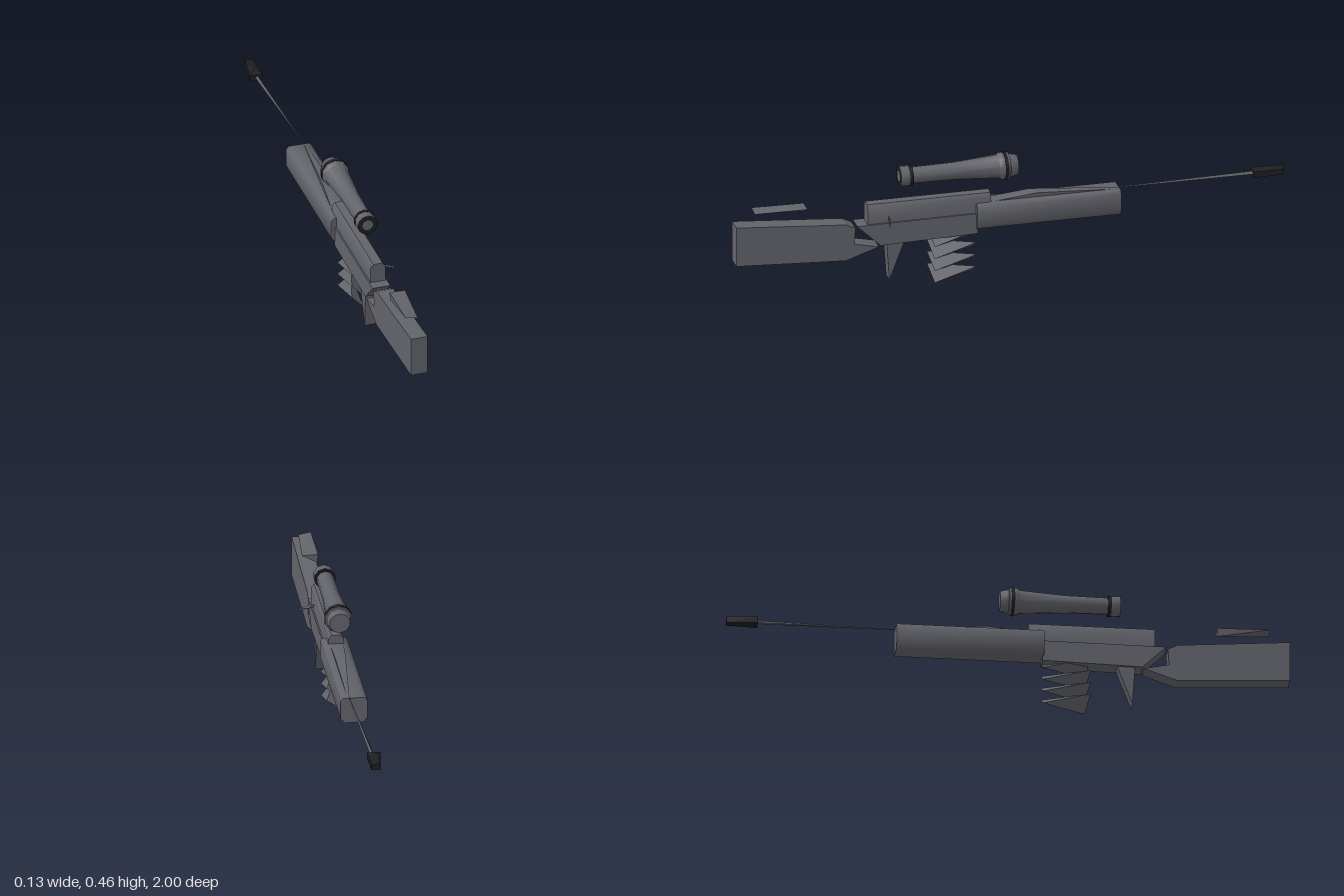
import * as THREE from 'three';
import { toCreasedNormals } from 'three/addons/utils/BufferGeometryUtils.js';
import { ConvexGeometry } from 'three/addons/geometries/ConvexGeometry.js';

const CX = -0.017; // the rifle's long axis lies a little to one side

export function createModel() {
  const group = new THREE.Group();
  const gunmetal = new THREE.MeshStandardMaterial({ color: 0x63646b });
  gunmetal.name = 'gunmetal';
  const black = new THREE.MeshStandardMaterial({ color: 0x1e1e20 });
  black.name = 'black';

  const add = (name, geometry, material = gunmetal, parent = group) => {
    const mesh = new THREE.Mesh(geometry, material);
    mesh.name = name;
    parent.add(mesh);
    return mesh;
  };
  const shapeOf = (pts) => new THREE.Shape(pts.map(([a, b]) => new THREE.Vector2(a, b)));
  // Side outline given as [z, y], extruded across x
  const sideSlab = (pts, width, x = CX) =>
    new THREE.ExtrudeGeometry(shapeOf(pts), { depth: width, bevelEnabled: false })
      .translate(0, 0, -width / 2).rotateY(-Math.PI / 2).translate(x, 0, 0);
  // Cross-section given as [x, y], extruded from z0 to z1
  const bar = (pts, z0, z1) => toCreasedNormals(
    new THREE.ExtrudeGeometry(shapeOf(pts), { depth: z1 - z0, bevelEnabled: false })
      .translate(0, 0, z0), 0.9);
  const hull = (pts) => new ConvexGeometry(pts.map((p) => new THREE.Vector3(...p)));
  // Turned part along z, profile given as [radius, z]
  const turned = (pts, sides, y) => toCreasedNormals(
    new THREE.LatheGeometry(pts.map(([r, z]) => new THREE.Vector2(r, z)), sides)
      .rotateX(Math.PI / 2).translate(CX, y, 0), 0.7);

  // Stock, with a notch behind the receiver
  add('stock', sideSlab([[1, 0.145], [1, 0.293], [0.6, 0.262], [0.565, 0.245],
    [0.57, 0.185], [0.48, 0.165], [0.6, 0.124]], 0.062));
  add('cheekRest', hull([[-0.045, 0.34, 0.93], [0.013, 0.336, 0.74],
    [-0.042, 0.306, 0.74], [-0.045, 0.337, 0.74], [0, 0.332, 0.93]]));

  // Receiver and the raised rail above it
  add('receiver', sideSlab([[0.56, 0.252], [0.475, 0.17], [0.12, 0.178], [0.12, 0.255]], 0.066));
  add('rail', bar([[-0.045, 0.25], [0.011, 0.25], [0.011, 0.31], [0, 0.325],
    [-0.034, 0.325], [-0.045, 0.31]], 0.07, 0.52));

  // Fore-end with chamfered corners, and a low ridge on top
  add('foreEnd', bar([[-0.065, 0.215], [-0.05, 0.197], [0.017, 0.197], [0.032, 0.215],
    [0.032, 0.28], [0.022, 0.292], [-0.055, 0.292], [-0.065, 0.28]], -0.4, 0.125));
  add('topRidge', hull([[-0.045, 0.288, 0.09], [0.005, 0.288, 0.09], [-0.03, 0.311, -0.08],
    [0.008, 0.308, -0.1], [0, 0.294, -0.4], [0.006, 0.29, -0.4]]));

  // Slender barrel, thicker toward the muzzle
  add('barrel', hull([[0, 0.296, -0.4], [0.002, 0.293, -0.4], [0, 0.292, -0.4],
    [-0.022, 0.287, -0.9], [-0.008, 0.287, -0.9], [-0.015, 0.297, -0.9]]));
  add('muzzle', hull([[-0.043, 0.277, -0.89], [0.004, 0.277, -0.89], [0.004, 0.3, -0.89],
    [-0.043, 0.3, -0.89], [-0.02, 0.31, -0.91], [-0.028, 0.279, -1], [0.004, 0.281, -1],
    [0.003, 0.3, -1], [-0.026, 0.305, -1]]), black);

  // Magazine: a stack of twisted wedges
  const magazine = new THREE.Group();
  magazine.name = 'magazine';
  group.add(magazine);
  for (let i = 0; i < 4; i++) {
    const y = 0.01 + i * 0.046;
    add('magazineWedge', hull([[0.009, y + 0.04, 0.12], [-0.041, y + 0.05, 0.292],
      [0.009, y - 0.008, 0.275], [-0.041, y + 0.006, 0.122]]), gunmetal, magazine);
  }

  // Grip and bolt handle
  add('grip', sideSlab([[0.45, 0.175], [0.44, 0.03], [0.385, 0.175]], 0.048));
  add('boltHandle', hull([[0.01, 0.279, 0.445], [0.01, 0.268, 0.445], [0.066, 0.262, 0.452],
    [0.064, 0.254, 0.452], [0.03, 0.268, 0.44]]));

  // Scope with eyepiece ring, tapered tube and flared objective
  const scope = new THREE.Group();
  scope.name = 'scope';
  group.add(scope);
  add('scopeTube', turned([[0, -0.03], [0.037, -0.03], [0.044, 0], [0.05, 0.002], [0.05, 0.03],
    [0.043, 0.04], [0.032, 0.2], [0.03, 0.36], [0.037, 0.365], [0.037, 0.398], [0, 0.398]], 10, 0.415),
    gunmetal, scope);
  for (const [z, r] of [[0.015, 0.0515], [0.36, 0.038]]) {
    add('scopeRing', turned([[r - 0.01, z - 0.006], [r, z - 0.006], [r, z + 0.006],
      [r - 0.01, z + 0.006]], 10, 0.415), black, scope);
  }
  // Dark rim around the eyepiece
  add('eyepieceRim', new THREE.RingGeometry(0.02, 0.037, 10).translate(CX, 0.415, 0.4), black, scope);

  return group;
}
